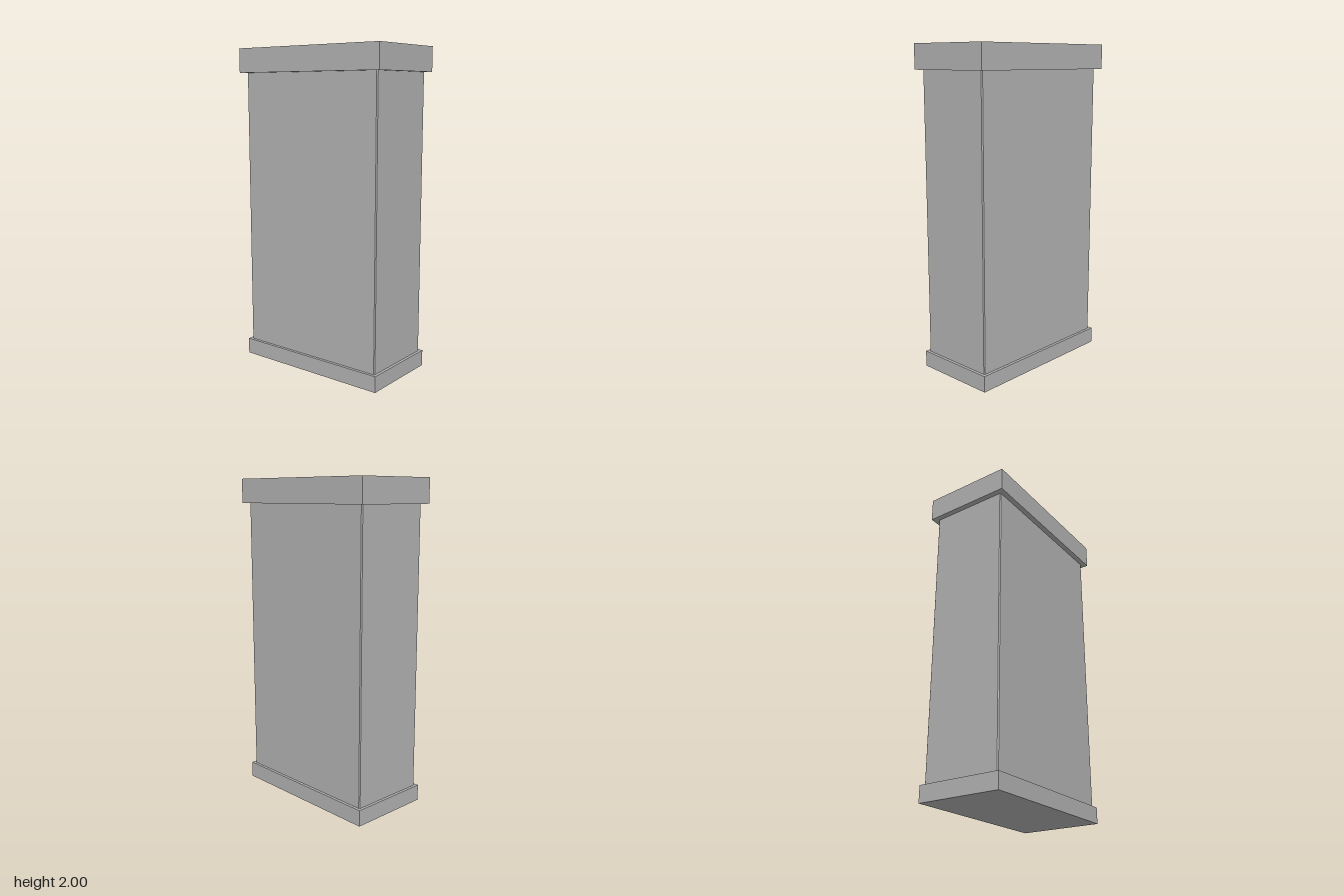
import * as THREE from 'three';

export function createModel() {
  const group = new THREE.Group();
  group.name = 'pillar';
  const stone = new THREE.MeshStandardMaterial({ color: 0xb2b2b2 });
  stone.name = 'grey stone';

  // Square-edged slab resting at height y
  function slab(name, width, height, depth, y) {
    const mesh = new THREE.Mesh(new THREE.BoxGeometry(width, height, depth), stone);
    mesh.name = name;
    mesh.position.y = y + height / 2;
    group.add(mesh);
  }

  slab('base', 1.03, 0.1, 0.53, 0);
  slab('cap', 1.06, 0.15, 0.56, 1.85);

  // Shaft with narrow chamfers on its four upright corners
  const w = 0.497, d = 0.247, c = 0.006;
  const outline = new THREE.Shape([
    [w, c - d], [w, d - c], [w - c, d], [c - w, d],
    [-w, d - c], [-w, c - d], [c - w, -d], [w - c, -d],
  ].map(([x, z]) => new THREE.Vector2(x, z)));
  const shaftGeometry = new THREE.ExtrudeGeometry(outline, { depth: 1.75, bevelEnabled: false });
  shaftGeometry.rotateX(-Math.PI / 2);
  const shaft = new THREE.Mesh(shaftGeometry, stone);
  shaft.name = 'shaft';
  shaft.position.y = 0.1;
  group.add(shaft);

  return group;
}
